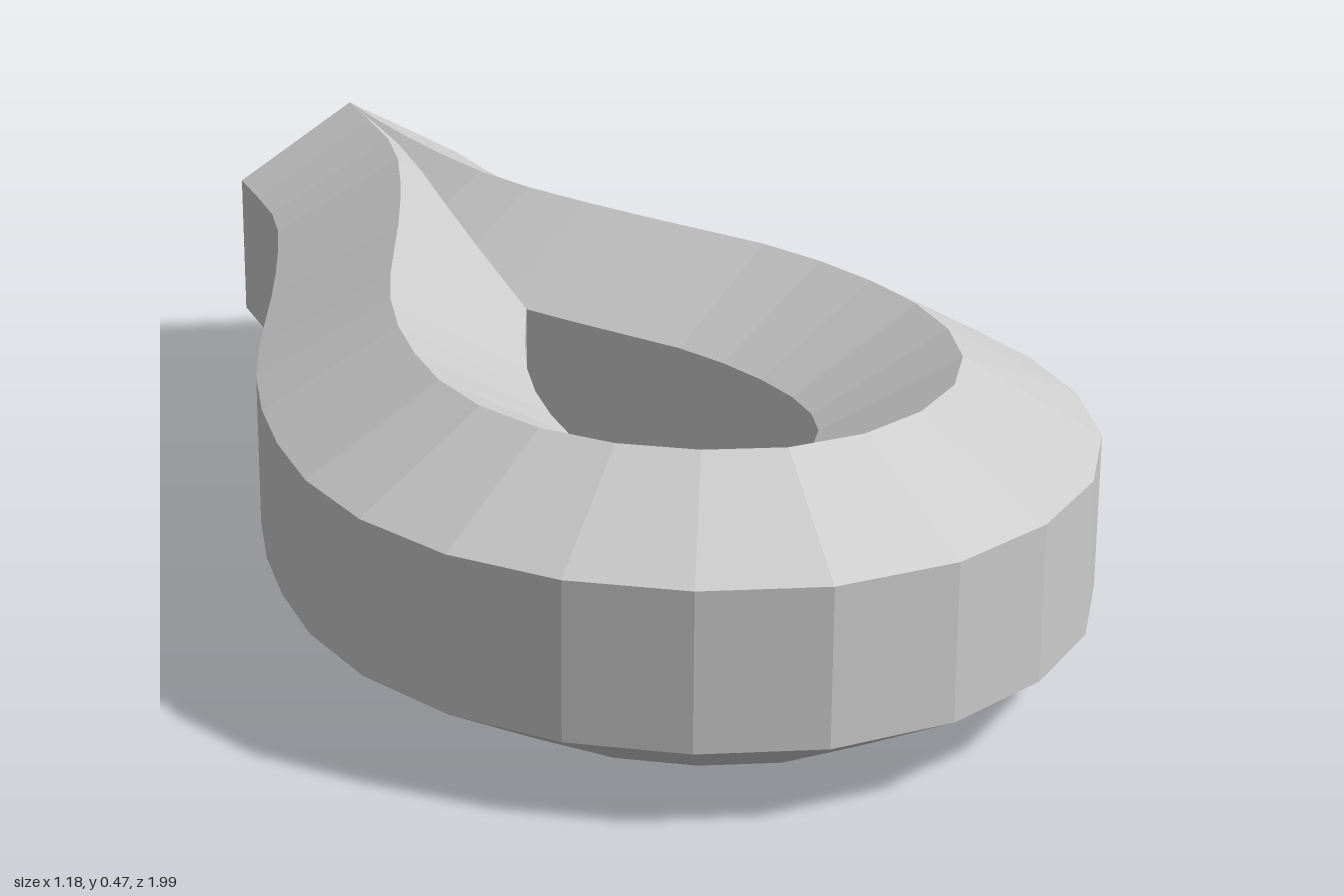
import * as THREE from 'three';

// Sweeps a hexagonal section along a flat path; the ends stay open.
function sweepHexagon(points, radius, centreY) {
  const sides = 6;
  const positions = [];
  const index = [];
  const last = points.length - 1;
  points.forEach((p, i) => {
    const t = new THREE.Vector3().subVectors(points[Math.min(i + 1, last)], points[Math.max(i - 1, 0)]);
    if (i === 0) t.set(0, 0, 1);
    if (i === last) t.set(0, 0, -1);
    t.normalize();
    // outward sideways direction, level with the ground
    const side = new THREE.Vector3(t.z, 0, -t.x);
    for (let k = 0; k < sides; k++) {
      const a = (k / sides) * Math.PI * 2;
      const out = Math.sin(a) * radius;
      positions.push(p.x + side.x * out, centreY + Math.cos(a) * radius, p.z + side.z * out);
    }
  });
  for (let i = 0; i < last; i++) {
    for (let k = 0; k < sides; k++) {
      const a = i * sides + k;
      const b = i * sides + ((k + 1) % sides);
      index.push(a, a + sides, b, b, a + sides, b + sides);
    }
  }
  const geometry = new THREE.BufferGeometry();
  geometry.setAttribute('position', new THREE.Float32BufferAttribute(positions, 3));
  geometry.setIndex(index);
  geometry.computeVertexNormals();
  return geometry;
}

export function createModel() {
  const group = new THREE.Group();
  group.name = 'teardropLoop';

  // Centre line (x, z): out along the left arm, round the bow, back along the right arm
  const leftArm = [[-0.012, -1], [0, -0.8], [0.055, -0.49], [0.192, -0.197], [0.312, 0.02]];
  const bow = [[0.366, 0.19], [0.386, 0.35], [0.367, 0.5], [0.315, 0.615], [0.235, 0.705], [0.125, 0.77]];
  const rightArm = [[-0.352, 0.105], [-0.3, -0.054], [-0.14, -0.424], [-0.037, -0.725], [-0.012, -1]];
  const bowMirror = bow.slice(1).reverse().map(([x, z]) => [-x, z]);
  const path = [...leftArm, ...bow, [0, 0.797], ...bowMirror, ...rightArm];
  const curve = new THREE.CatmullRomCurve3(path.map(([x, z]) => new THREE.Vector3(x, 0, z)));

  // Faceted hexagonal tube
  const radius = 0.236;
  const tube = new THREE.Mesh(
    sweepHexagon(curve.getSpacedPoints(35), radius, radius),
    new THREE.MeshStandardMaterial({ color: 0xcccccc, flatShading: true, side: THREE.DoubleSide })
  );
  tube.name = 'hexagonalTube';
  group.add(tube);
  return group;
}
